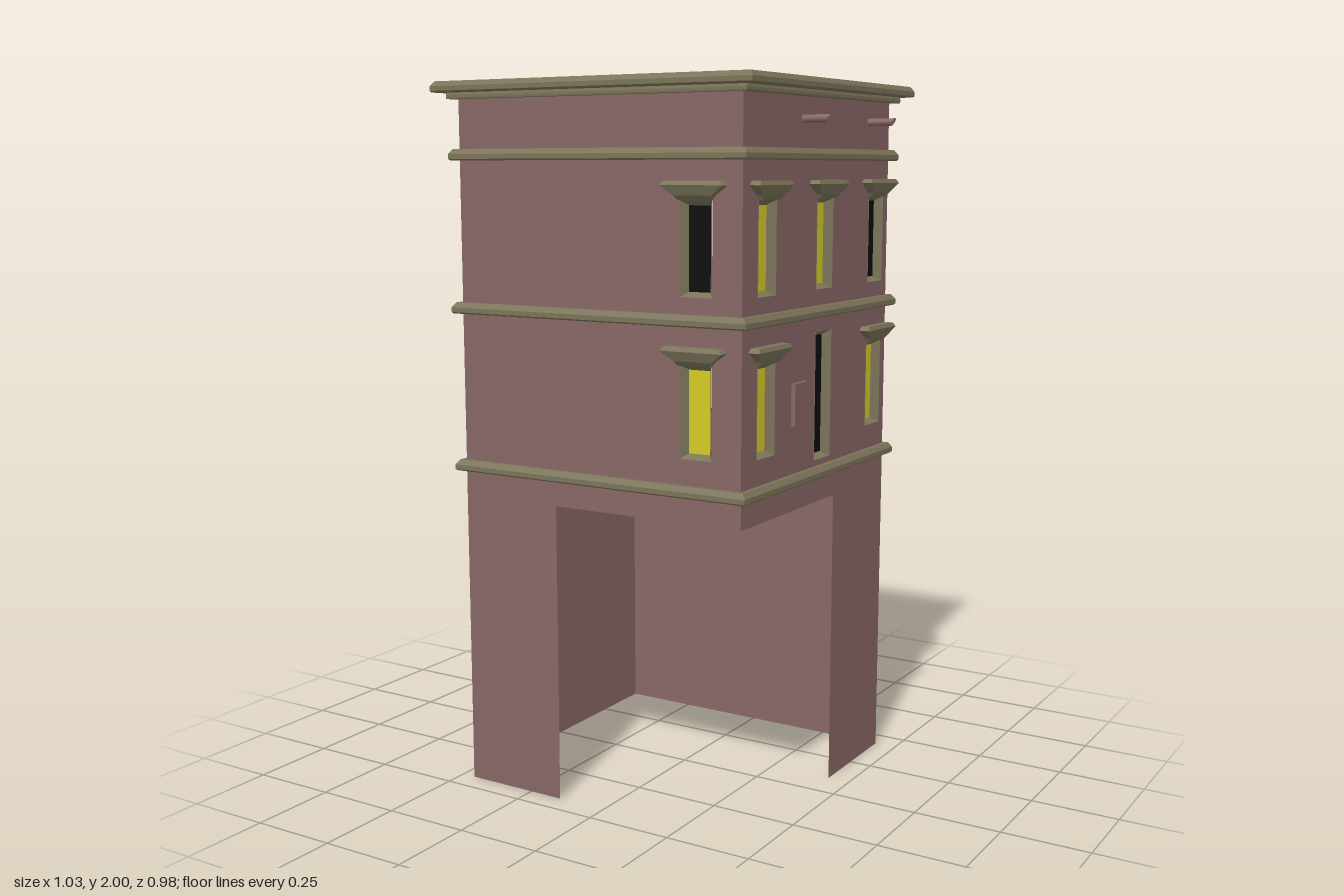
import * as THREE from 'three';

const mat = (name, color, side = THREE.FrontSide) => {
  const m = new THREE.MeshStandardMaterial({ color, side });
  m.name = name;
  return m;
};

// Corner rings, ordered counter-clockwise seen from +y or from +z
const flatRing = (y, x0, x1, z0, z1) => [[x0, y, z1], [x1, y, z1], [x1, y, z0], [x0, y, z0]];
const uprightRing = (z, x0, x1, y0, y1) => [[x0, y0, z], [x1, y0, z], [x1, y1, z], [x0, y1, z]];

// Flat-shaded skin through four-cornered rings, listed bottom to top (or back to front)
function loft(rings, capped = true) {
  const pos = [];
  const quad = (a, b, c, d) => pos.push(...a, ...b, ...c, ...a, ...c, ...d);
  for (let i = 0; i + 1 < rings.length; i++) {
    for (let k = 0; k < 4; k++) {
      const n = (k + 1) % 4;
      quad(rings[i][k], rings[i][n], rings[i + 1][n], rings[i + 1][k]);
    }
  }
  if (capped) {
    const a = rings[0], b = rings[rings.length - 1];
    quad(a[3], a[2], a[1], a[0]);
    quad(b[0], b[1], b[2], b[3]);
  }
  const g = new THREE.BufferGeometry();
  g.setAttribute('position', new THREE.Float32BufferAttribute(pos, 3));
  g.computeVertexNormals();
  return g;
}

export function createModel() {
  const plaster = mat('rose plaster', 0x886666, THREE.DoubleSide);
  const stone = mat('olive stone', 0x7b7459);
  const reveal = mat('olive reveal', 0x7b7459, THREE.DoubleSide);
  const lit = mat('yellow glass', 0xd6ca24);
  const dark = mat('black glass', 0x0d0d0d);

  const model = new THREE.Group();
  model.name = 'tower';
  const add = (parent, name, geo, material) => {
    const m = new THREE.Mesh(geo, material);
    m.name = name;
    parent.add(m);
    return m;
  };

  // Body extents
  const X0 = -0.459, X1 = 0.435, Z0 = -0.43, Z1 = 0.435, TOP = 1.96, ARCH = 0.85;

  // Recessed opening with sloped reveal and glass
  const BORDER = 0.016, DEPTH = 0.02;
  function opening(parent, o) {
    const x0 = o.x - o.w / 2, x1 = o.x + o.w / 2;
    const inner = [x0 + BORDER, x1 - BORDER, o.y0 + BORDER * 0.8, o.y1 - BORDER * 0.8];
    const win = new THREE.Group();
    win.name = 'window';
    parent.add(win);
    add(win, 'windowReveal', loft([uprightRing(-DEPTH, ...inner), uprightRing(0.002, x0, x1, o.y0, o.y1)], false), reveal);
    const glass = add(win, 'windowGlass', new THREE.PlaneGeometry(inner[1] - inner[0], inner[3] - inner[2]), o.glass);
    glass.position.set(o.x, (o.y0 + o.y1) / 2, -DEPTH);
    if (o.hood) {
      // Flared hood: height above the frame, half width, projection
      const levels = [[0, 0.049, 0.01], [0.012, 0.056, 0.02], [0.038, 0.093, 0.031], [0.049, 0.082, 0.026]];
      add(win, 'windowHood', loft(levels.map(([h, w, d]) => flatRing(o.y1 + h, o.x - w, o.x + w, -0.004, d))), stone);
    }
  }

  // One wall in its own frame: x to the right seen from outside, z outward.
  // The notch [from, to] leaves the wall open below ARCH.
  function wall(name, position, turn, x0, x1, openings, notch) {
    const g = new THREE.Group();
    g.name = name;
    g.position.set(...position);
    g.rotation.y = turn;
    model.add(g);
    let outline = [[x0, 0], [x1, 0], [x1, TOP], [x0, TOP]];
    if (notch === 'right') outline = [[x0, 0], [-0.148, 0], [-0.148, ARCH], [x1, ARCH], [x1, TOP], [x0, TOP]];
    if (notch === 'left') outline = [[x0, ARCH], [0.1, ARCH], [0.1, 0], [x1, 0], [x1, TOP], [x0, TOP]];
    const shape = new THREE.Shape(outline.map(p => new THREE.Vector2(...p)));
    for (const o of openings) {
      const a = o.x - o.w / 2, b = o.x + o.w / 2;
      shape.holes.push(new THREE.Path([[a, o.y0], [a, o.y1], [b, o.y1], [b, o.y0]].map(p => new THREE.Vector2(...p))));
      opening(g, o);
    }
    add(g, name + 'Face', new THREE.ShapeGeometry(shape), plaster);
    return g;
  }

  // Opening kinds; floor 0 is the lower row, floor 1 the upper
  const hooded = (x, floor, glass) => ({ x, w: 0.096, y0: 1.022 + 0.42 * floor, y1: 1.267 + 0.42 * floor, glass, hood: true });
  const plain = (x, floor, glass) => ({ x, w: 0.14, y0: 1.0 + 0.42 * floor, y1: 1.32 + 0.42 * floor, glass });

  wall('frontWall', [0, 0, Z1], 0, X0, X1, [hooded(0.3, 0, lit), hooded(0.3, 1, dark)], 'right');
  wall('backWall', [0, 0, Z0], Math.PI, -X1, -X0,
    [hooded(-0.3, 0, lit), hooded(-0.3, 1, lit), plain(0.12, 0, lit), plain(0.12, 1, dark)]);
  wall('rightWall', [X0, 0, 0], -Math.PI / 2, Z0, Z1, []);
  const side = wall('leftWall', [X1, 0, 0], Math.PI / 2, -Z1, -Z0, [
    hooded(-0.308, 0, lit), hooded(0.348, 0, lit),
    hooded(-0.308, 1, lit), hooded(0.02, 1, lit), hooded(0.348, 1, dark),
    { x: 0.02, w: 0.096, y0: 0.97, y1: 1.326, glass: dark },
  ], 'left');

  // Small raised wall box
  add(side, 'wallBox', new THREE.BoxGeometry(0.077, 0.115, 0.012), plaster).position.set(-0.126, 1.142, 0.006);

  // Two waterspouts with slanted ends
  for (const x of [-0.113, 0.293]) {
    const geo = new THREE.CylinderGeometry(0.0105, 0.0105, 0.078, 10).rotateX(Math.PI / 2);
    const p = geo.attributes.position;
    for (let i = 0; i < p.count; i++) if (p.getZ(i) > 0) p.setZ(i, p.getZ(i) + p.getY(i) * 0.6);
    add(side, 'waterspout', geo, plaster).position.set(x, 1.895, 0.036);
  }

  // Full-width string courses; the lowest is also the ceiling of the open corner
  const course = (name, y0, y1, grow, bevel) => {
    const ring = (y, e) => flatRing(y, X0 - e, X1 + e, Z0 - e, Z1 + e);
    const mid = y0 + (y1 - y0) * 0.55;
    add(model, name, loft([ring(y0, grow - bevel * 0.4), ring(y0 + 0.004, grow), ring(mid, grow), ring(y1, grow - bevel)]), stone);
  };
  for (const y of [0.921, 1.367, 1.788]) course('stringCourse', y, y + 0.031, 0.023, 0.01);
  course('corniceBase', 1.953, 1.972, 0.024, 0.002);
  course('roofSlab', 1.97, 2.0, 0.055, 0.01);

  return model;
}
